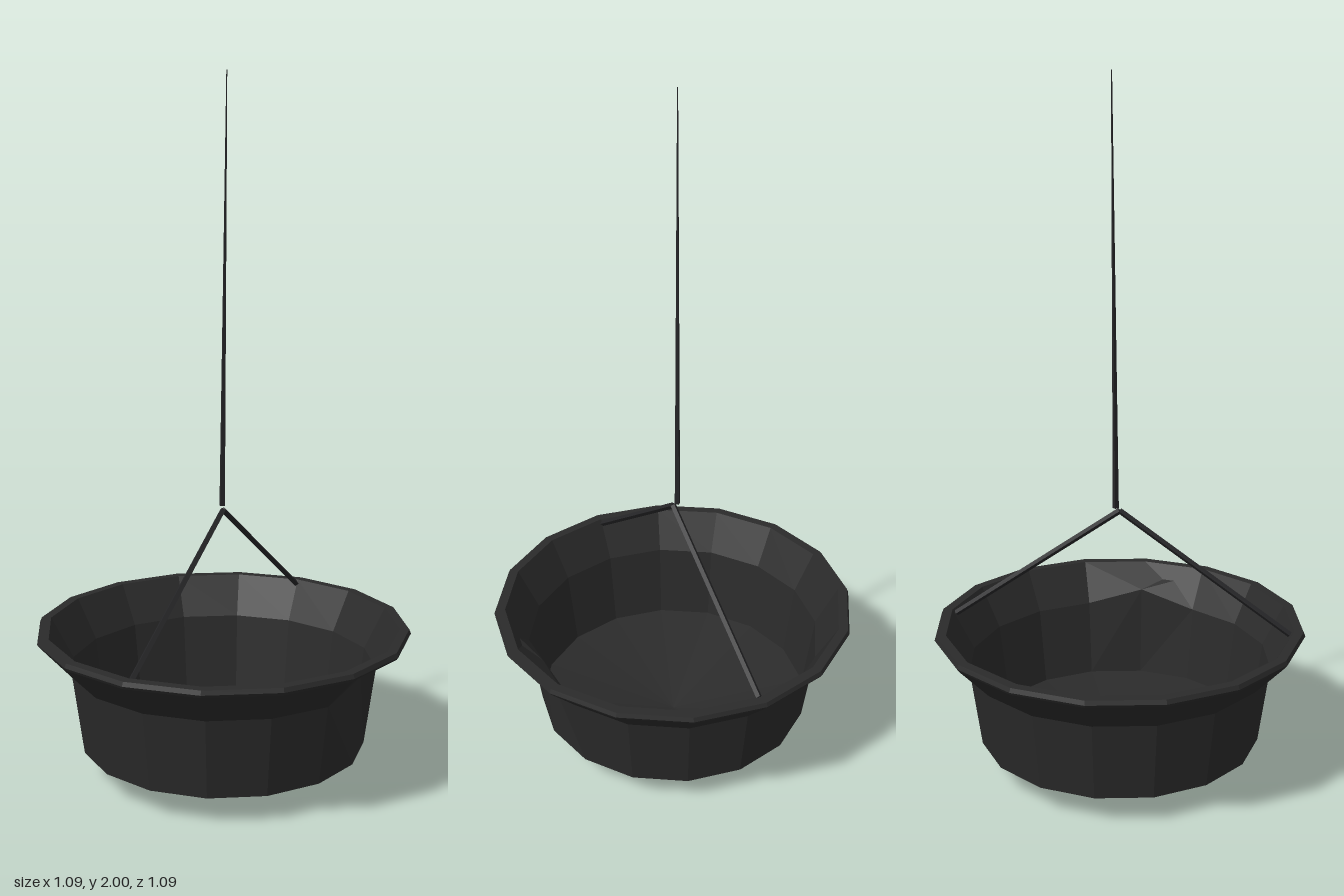
import * as THREE from 'three';

const V = (x, y, z) => new THREE.Vector3(x, y, z);

// Thin tapered bar between two points
function bar(name, from, to, rFrom, rTo, material) {
  const dir = to.clone().sub(from);
  const mesh = new THREE.Mesh(new THREE.CylinderGeometry(rTo, rFrom, dir.length(), 4), material);
  mesh.name = name;
  mesh.position.copy(from).add(to).multiplyScalar(0.5);
  mesh.quaternion.setFromUnitVectors(V(0, 1, 0), dir.normalize());
  return mesh;
}

// Sixteen-sided ring surface from [radius, height] pairs
function ringed(name, profile, material) {
  const geometry = new THREE.LatheGeometry(profile.map(([r, y]) => new THREE.Vector2(r, y)), 16);
  // The shoulder rises a little on the +x side
  const p = geometry.attributes.position;
  for (let i = 0; i < p.count; i++) {
    const r = Math.hypot(p.getX(i), p.getZ(i));
    if (Math.abs(p.getY(i) - 0.31) < 0.001 && p.getX(i) > 0.95 * r) {
      p.setXYZ(i, p.getX(i) * 0.975, 0.36, p.getZ(i) * 0.975);
    }
  }
  const mesh = new THREE.Mesh(geometry, material);
  mesh.name = name;
  return mesh;
}

export function createModel() {
  const group = new THREE.Group();
  group.name = 'hangingPot';
  const darkPlastic = new THREE.MeshStandardMaterial({ color: 0x2a2a2a, flatShading: true, side: THREE.DoubleSide });
  darkPlastic.name = 'dark plastic';
  const darkWire = new THREE.MeshStandardMaterial({ color: 0x252527, flatShading: true });
  darkWire.name = 'dark wire';

  // Thin bowl with a shallow conical base, and its flared lip
  group.add(ringed('bowl', [[0, 0], [0.415, 0.08], [0.447, 0.31], [0.54, 0.41]], darkPlastic));
  group.add(ringed('rim', [[0.54, 0.41], [0.545, 0.418], [0.54, 0.43], [0.512, 0.43], [0.447, 0.31]], darkPlastic));

  // Two bars of the hanger, front and back
  const apex = V(0, 0.77, 0);
  for (const s of [1, -1]) {
    group.add(bar(s > 0 ? 'frontHanger' : 'backHanger', V(0, 0.42, s * 0.5), apex, 0.009, 0.009, darkWire));
  }

  // Tapered suspension wire
  group.add(bar('suspensionWire', V(-0.008, 0.78, -0.01), V(0, 2, -0.022), 0.009, 0.0015, darkWire));
  return group;
}
